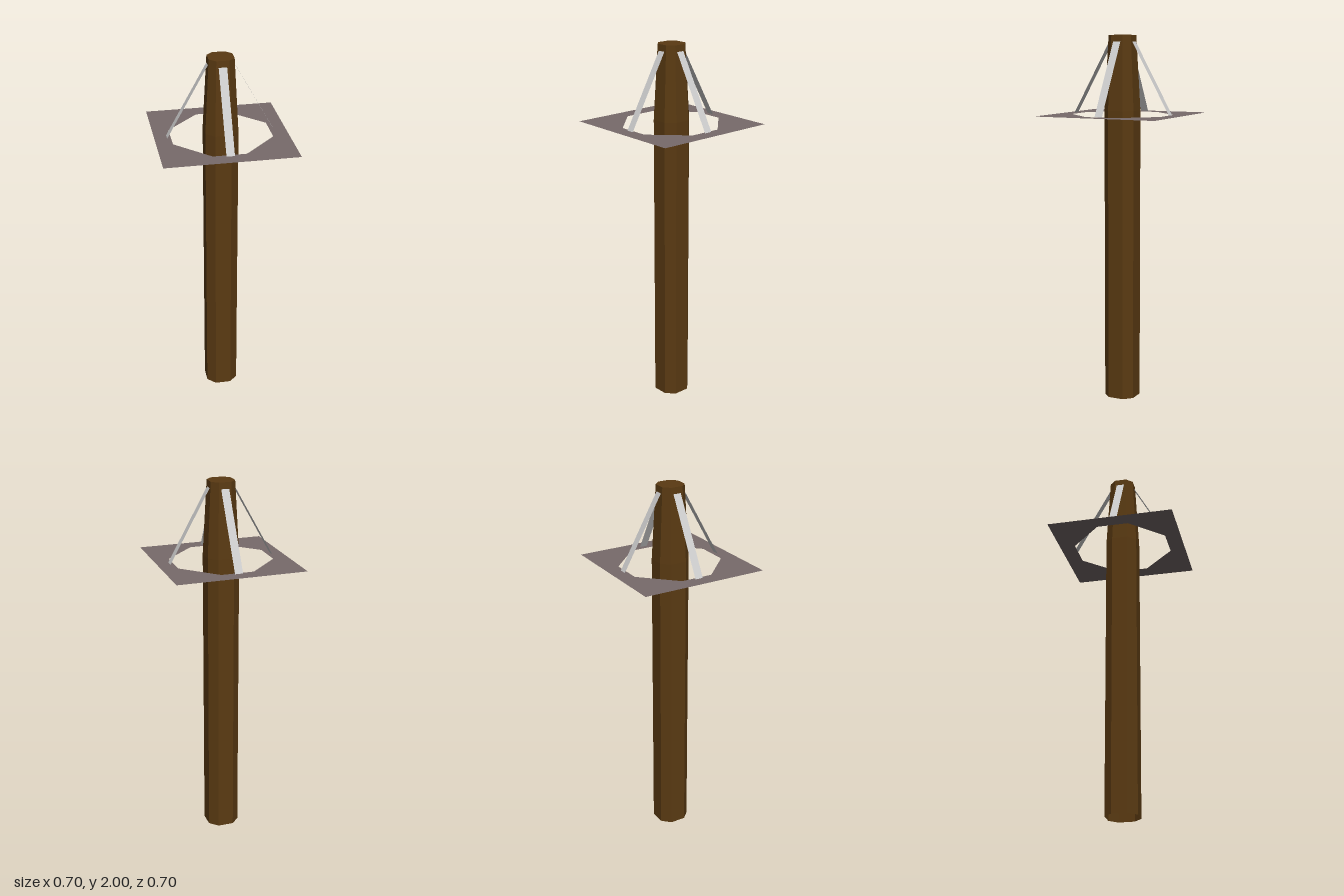
import * as THREE from 'three';

const paint = (color) => new THREE.MeshStandardMaterial({ color, flatShading: true, side: THREE.DoubleSide });

// Corners of a square of half-size h with its corners cut back to c
const octagon = (h, c) => [[h, c], [c, h], [-c, h], [-h, c], [-h, -c], [-c, -h], [c, -h], [h, -c]];

// Eight-sided shaft through a list of [half-size, cut, height], open below and capped on top
function shaftGeometry(levels) {
  const pos = [];
  const rings = levels.map(([h, c, y]) => octagon(h, c).map(([x, z]) => [x, y, z]));
  for (let r = 0; r < rings.length - 1; r++) {
    for (let i = 0; i < 8; i++) {
      const j = (i + 1) % 8;
      const a = rings[r][i], b = rings[r][j], c = rings[r + 1][j], d = rings[r + 1][i];
      pos.push(...a, ...d, ...b, ...b, ...d, ...c);
    }
  }
  const top = rings[rings.length - 1];
  for (let i = 1; i < 7; i++) pos.push(...top[0], ...top[i + 1], ...top[i]);
  const geo = new THREE.BufferGeometry();
  geo.setAttribute('position', new THREE.Float32BufferAttribute(pos, 3));
  geo.computeVertexNormals();
  return geo;
}

export function createModel() {
  const model = new THREE.Group();
  model.name = 'postWithCollar';
  const add = (name, geometry, material, parent = model) => {
    const mesh = new THREE.Mesh(geometry, material);
    mesh.name = name;
    parent.add(mesh);
    return mesh;
  };

  // Wooden post with a tapered head
  add('post', shaftGeometry([[0.087, 0.043, 0], [0.087, 0.043, 1.6], [0.066, 0.033, 2]]), paint(0x5a3a12));

  // Thin square plate with an eight-sided opening
  const s = 0.348;
  const outline = new THREE.Shape([[-s, -s], [s, -s], [s, s], [-s, s]].map((p) => new THREE.Vector2(...p)));
  outline.holes.push(new THREE.Path(octagon(0.262, 0.087).reverse().map((p) => new THREE.Vector2(...p))));
  const plate = new THREE.ShapeGeometry(outline).rotateX(-Math.PI / 2);
  add('plate', plate, paint(0x776a6a)).position.y = 1.577;

  // Four flat struts sloping from the head of the post down to the plate
  const struts = new THREE.Group();
  struts.name = 'struts';
  model.add(struts);
  const inner = 0.067, outer = 0.283, high = 1.967, low = 1.58;
  const run = outer - inner, drop = high - low;
  const strip = new THREE.PlaneGeometry(0.043, Math.hypot(run, drop))
    .rotateX(-Math.atan2(run, drop))
    .translate(0, (high + low) / 2, (inner + outer) / 2);
  const grey = paint(0xcccccc);
  for (let i = 0; i < 4; i++) add('strut' + (i + 1), strip, grey, struts).rotation.y = (i * Math.PI) / 2;

  return model;
}
